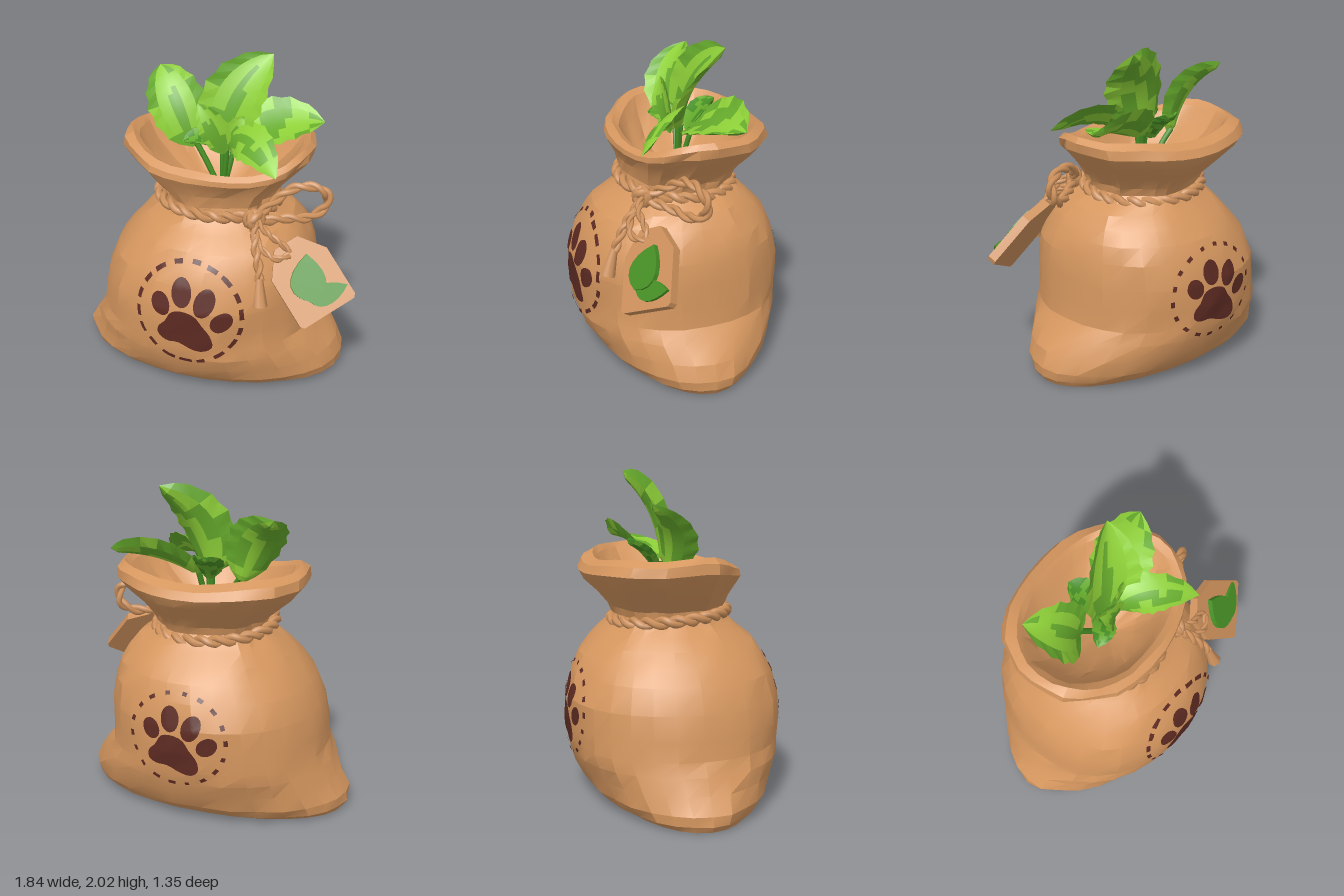
import * as THREE from 'three';
import { toCreasedNormals } from 'three/addons/utils/BufferGeometryUtils.js';

const V = (x, y, z) => new THREE.Vector3(x, y, z);
const mat = (name, color) => {
  const m = new THREE.MeshStandardMaterial({ color });
  m.name = name;
  return m;
};
// Repeatable pseudo-random value in 0..1
const hash = (a, b) => {
  const s = Math.sin(a * 127.1 + b * 311.7) * 43758.5453;
  return s - Math.floor(s);
};

// Surface through rows of points, two triangles per cell
function grid(rows, crease = 0.5) {
  const n = rows[0].length, index = [];
  for (let i = 0; i < rows.length - 1; i++) for (let j = 0; j < n - 1; j++) {
    const a = i * n + j, b = a + 1, d = a + n, c = d + 1;
    index.push(a, d, b, b, d, c);
  }
  const g = new THREE.BufferGeometry().setFromPoints(rows.flat());
  g.setIndex(index);
  return toCreasedNormals(g, crease);
}

export function createModel() {
  const root = new THREE.Group();
  const burlap = mat('burlap', 0xd6975f);
  const ropeMat = mat('rope', 0xce915c);
  const ink = mat('brown ink', 0x5c2a22);
  const light = mat('light leaf green', 0x8ed038);
  const mid = mat('mid leaf green', 0x66ab2c);
  const dark = mat('dark leaf green', 0x468f24);
  const add = (name, geo, material, parent = root) => {
    const m = new THREE.Mesh(geo, material);
    m.name = name;
    parent.add(m);
    return m;
  };
  const group = (name) => {
    const g = new THREE.Group();
    g.name = name;
    root.add(g);
    return g;
  };

  // Sack: sections as [y, xmin, xmax, zmin, zmax], up the outside, over the rim and down the inside
  const sections = [
    [0, -0.07, -0.07, 0, 0], [0, -0.9, 0.765, -0.42, 0.42], [0.04, -0.92, 0.785, -0.49, 0.49],
    [0.1, -0.92, 0.79, -0.55, 0.55], [0.2, -0.86, 0.75, -0.605, 0.605], [0.3, -0.81, 0.67, -0.64, 0.64],
    [0.38, -0.77, 0.61, -0.66, 0.655], [0.5, -0.76, 0.6, -0.667, 0.665], [0.65, -0.735, 0.6, -0.66, 0.66],
    [0.8, -0.675, 0.585, -0.62, 0.62], [0.9, -0.6, 0.55, -0.565, 0.57], [0.98, -0.53, 0.5, -0.5, 0.51],
    [1.05, -0.46, 0.44, -0.43, 0.42], [1.1, -0.4, 0.35, -0.375, 0.36], [1.14, -0.37, 0.31, -0.35, 0.33],
    [1.19, -0.38, 0.32, -0.37, 0.32], [1.27, -0.47, 0.38, -0.44, 0.34], [1.36, -0.58, 0.48, -0.53, 0.375],
    [1.42, -0.645, 0.535, -0.57, 0.4], [1.47, -0.64, 0.55, -0.54, 0.39], [1.5, -0.59, 0.52, -0.47, 0.35],
    [1.47, -0.55, 0.48, -0.44, 0.31], [1.38, -0.48, 0.4, -0.39, 0.28], [1.28, -0.36, 0.28, -0.3, 0.23],
    [1.19, -0.23, 0.17, -0.2, 0.14], [1.12, -0.08, 0.02, -0.08, 0.02], [1.12, -0.03, -0.03, -0.03, -0.03],
  ];
  const SEG = 30;
  const full = (c, p) => Math.sign(c) * Math.abs(c) ** p;
  const sackRows = sections.map(([y, x0, x1, z0, z1], i) => Array.from({ length: SEG + 1 }, (_, j) => {
    const k = j % SEG, t = (k / SEG) * Math.PI * 2;
    const fold = Math.max(0, 1 - Math.abs(y - 1.22) / 0.3) * 0.05;
    const f = 1 + fold * Math.sin(8 * t + 2 * Math.sin(2 * t)) + (y > 0 ? (hash(i, k) - 0.5) * 0.026 : 0);
    const wave = THREE.MathUtils.smoothstep(y, 1.3, 1.5);
    const dip = -0.07 * Math.max(0, Math.cos(t - 1.3)) ** 2 + 0.02 * Math.cos(2 * t) + 0.01 * Math.sin(5 * t);
    const p = y > 0.25 ? 0.92 : 1;
    return V((x0 + x1) / 2 + (x1 - x0) / 2 * f * full(Math.cos(t), p), y + wave * (dip + 0.018),
      (z0 + z1) / 2 + (z1 - z0) / 2 * f * full(Math.sin(t), p));
  }));
  const sack = add('sack', grid(sackRows, 0.32), burlap);
  sack.updateMatrixWorld();

  // Paw prints laid on the front and back of the sack
  const ray = new THREE.Raycaster();
  function pawPrint(name, side, cx, cy, sx, sy, dash) {
    const g = group(name);
    const lay = (u, v) => {
      const x = cx + side * u * sx, y = cy + v * sy;
      ray.set(V(x, y, side * 2), V(0, 0, -side));
      return V(x, y, ray.intersectObject(sack)[0].point.z + side * 0.009);
    };
    const disk = (part, u, v, outline) => add(part, grid([0.001, 0.2, 0.4, 0.6, 0.8, 1].map((r) =>
      outline.map(([a, b]) => lay(u + a * r, v + b * r)))), ink, g);
    // Toes: centre, half width, half height, tilt
    [[-0.17, 0.06, 0.06, 0.074, 0.35], [-0.04, 0.15, 0.063, 0.09, 0.05], [0.105, 0.105, 0.062, 0.092, -0.3],
      [0.21, -0.015, 0.058, 0.077, -0.75]].forEach(([u, v, a, b, tilt]) => {
      disk('toe', u, v, Array.from({ length: 21 }, (_, i) => {
        const t = (i / 20) * Math.PI * 2, p = a * Math.cos(t), q = b * Math.sin(t);
        return [p * Math.cos(tilt) - q * Math.sin(tilt), p * Math.sin(tilt) + q * Math.cos(tilt)];
      }));
    });
    const pad = [[-0.03, 0.13], [-0.09, 0.11], [-0.13, 0.04], [-0.175, -0.01], [-0.175, -0.07], [-0.12, -0.1],
      [-0.05, -0.1], [0.03, -0.135], [0.11, -0.15], [0.165, -0.11], [0.155, -0.03], [0.105, 0.04], [0.06, 0.11]];
    const curve = new THREE.CatmullRomCurve3(pad.map(([a, b]) => V(a, b, 0)), true);
    disk('palm pad', -0.01, -0.09, curve.getPoints(32).map((p) => [p.x, p.y]));
    // Dashed ring
    for (let i = 0; i < 18; i++) {
      const t0 = (i / 18) * Math.PI * 2, len = dash * (0.14 + 0.1 * hash(i, 3));
      add('ring dash', grid([0.313, 0.338].map((r) => [0, 1, 2, 3, 4].map((k) => {
        const t = t0 + len * k / 4;
        return lay(r * Math.cos(t), r * Math.sin(t));
      }))), ink, g);
    }
  }
  pawPrint('frontPawPrint', 1, -0.04, 0.62, 1, 1, 1.1);
  pawPrint('backPawPrint', -1, -0.04, 0.575, 0.95, 0.87, 0.65);

  // Rope: two strands twisted around a path
  function rope(name, points, closed, turns, r, steps) {
    const g = group(name);
    const path = new THREE.CatmullRomCurve3(points, closed);
    const fr = path.computeFrenetFrames(steps, closed);
    for (const phase of [0, Math.PI]) {
      const pts = [];
      for (let i = 0; i < steps + (closed ? 0 : 1); i++) {
        const t = phase + (i / steps) * turns * Math.PI * 2;
        pts.push(path.getPointAt(i / steps).addScaledVector(fr.normals[i], r * 0.8 * Math.cos(t))
          .addScaledVector(fr.binormals[i], r * 0.8 * Math.sin(t)));
      }
      add('strand', new THREE.TubeGeometry(new THREE.CatmullRomCurve3(pts, closed), steps * 2, r, 6, closed), ropeMat, g);
    }
  }
  rope('neckRope', Array.from({ length: 16 }, (_, i) => {
    const t = (i / 16) * Math.PI * 2;
    return V(-0.04 + 0.37 * Math.cos(t), 1.13 - 0.015 * Math.cos(t) + 0.025 * Math.sin(t), -0.01 + 0.355 * Math.sin(t));
  }), true, 12, 0.023, 112);
  rope('bowLoop', [V(0.27, 1.15, 0.29), V(0.36, 1.22, 0.18), V(0.46, 1.29, 0.11), V(0.57, 1.3, 0.07), V(0.655, 1.25, 0.04),
    V(0.65, 1.16, 0.03), V(0.57, 1.1, 0.08), V(0.42, 1.11, 0.17), V(0.28, 1.13, 0.29)], false, 5, 0.019, 56);
  rope('ropeTail', [V(0.28, 1.13, 0.3), V(0.31, 1.03, 0.4), V(0.35, 0.93, 0.47), V(0.365, 0.86, 0.505)], false, 2, 0.017, 24);
  rope('tagString', [V(0.28, 1.16, 0.3), V(0.37, 1.1, 0.35), V(0.46, 1.03, 0.34), V(0.51, 0.99, 0.34)], false, 2, 0.013, 20);
  rope('tagString', [V(0.27, 1.1, 0.32), V(0.35, 1.02, 0.4), V(0.44, 0.97, 0.41), V(0.51, 0.98, 0.36)], false, 2, 0.013, 20);

  // Knot wraps and frayed end
  const knot = group('knot');
  [[0, 0.3, 0.5], [1.1, 0.8, 0.2], [-0.8, 1.3, 0]].forEach(([a, b, c]) => {
    const wrap = add('knot wrap', new THREE.TorusGeometry(0.045, 0.028, 6, 12), ropeMat, knot);
    wrap.position.set(0.27, 1.145, 0.29);
    wrap.rotation.set(a, b, c);
  });
  const fray = add('frayed end', new THREE.CylinderGeometry(0.022, 0.045, 0.17, 7), ropeMat);
  fray.position.set(0.375, 0.795, 0.53);
  fray.rotation.set(-0.3, 0, 0.12);

  // Tag with a two-leaf emblem
  const tag = group('tag');
  const u = V(0.73, 0.43, -0.54).normalize(), n = V(0.27, 0.54, 0.8);
  n.addScaledVector(u, -n.dot(u)).normalize();
  tag.quaternion.setFromRotationMatrix(new THREE.Matrix4().makeBasis(u, n.clone().cross(u), n));
  tag.position.set(0.645, 0.835, 0.39);
  const plate = new THREE.Shape([[-0.17, -0.22], [0.175, -0.22], [0.195, -0.2], [0.195, 0.12], [0.08, 0.27], [-0.08, 0.27],
    [-0.19, 0.12], [-0.19, -0.2]].map(([x, y]) => new THREE.Vector2(x, y)));
  add('tag plate', new THREE.ExtrudeGeometry(plate, { depth: 0.055, bevelEnabled: false }), ropeMat, tag).position.z = -0.055;
  // Emblem leaf: direction, length, half-width control, lift
  [[1.08, 0.285, 0.15, 0.012], [-0.12, 0.25, 0.09, 0]].forEach(([angle, len, w, lift]) => {
    const s = new THREE.Shape();
    s.moveTo(0, 0);
    s.bezierCurveTo(len * 0.15, w, len * 0.6, w * 0.9, len, 0);
    s.bezierCurveTo(len * 0.6, -w * 0.9, len * 0.15, -w, 0, 0);
    const leaf = add('tag leaf', new THREE.ExtrudeGeometry(s, { depth: 0.02 + lift, bevelEnabled: false, curveSegments: 7 }), dark, tag);
    leaf.position.set(-0.065, -0.1, 0);
    leaf.rotation.z = angle;
  });

  // Leaves: a cupped blade along a bent midrib, toothed edge, patchy faces
  const sprig = group('leaves');
  function leaf(name, p0, p1, p2, up, width, seed, cup = 0.25, faces = [light, mid], back = [mid, light]) {
    const rib = new THREE.QuadraticBezierCurve3(p0, p1, p2), T = 12;
    const blade = (thick) => Array.from({ length: T + 1 }, (_, i) => {
      const t = i / T, c = rib.getPoint(t), tan = rib.getTangent(t);
      const nn = up.clone().addScaledVector(tan, -up.dot(tan)).normalize();
      const side = nn.clone().cross(tan);
      const w = width * Math.max(0, Math.sin(Math.PI * t ** 0.9)) ** 0.7 + 0.008 * (1 - t);
      return [-1, -0.6, -0.2, 0, 0.2, 0.6, 1].map((s) => {
        const tooth = Math.abs(s) === 1 && i % 2 ? 0.9 : 1;
        return c.clone().addScaledVector(side, s * w * tooth)
          .addScaledVector(nn, cup * w * s * s - thick * (1 - s * s) * Math.min(1, w / 0.05));
      });
    });
    const paint = (geo, offset) => {
      for (let i = 0; i < T; i++) for (let j = 0; j < 6; j++) {
        const vein = (j === 2 || j === 3) && i > 1 && i < 7;
        const patch = hash(Math.floor(i / 2) + seed + offset, j) < 0.27 || i < 2;
        geo.addGroup((i * 6 + j) * 6, 6, vein || patch ? 1 : 0);
      }
      return geo;
    };
    add(name, paint(grid(blade(0), 0.3), 0), faces, sprig);
    add(name + ' underside', paint(grid(blade(0.03).map((r) => r.reverse()), 0.3), 50), back, sprig);
  }
  leaf('tallLeaf', V(-0.03, 1.42, -0.03), V(0.01, 1.8, -0.03), V(0.24, 2, -0.23), V(-0.15, 0.4, 1), 0.205, 1, 0.35);
  leaf('leftLeaf', V(-0.22, 1.4, -0.06), V(-0.33, 1.74, -0.03), V(-0.49, 1.85, -0.24), V(0.25, 0.75, 0.9), 0.18, 7, 0.3);
  leaf('frontRightLeaf', V(0, 1.48, 0), V(0.17, 1.7, 0.12), V(0.41, 1.46, 0.34), V(-0.2, 0.8, 0.8), 0.13, 13, -0.2);
  leaf('backRightLeaf', V(0.03, 1.45, -0.08), V(0.28, 1.62, -0.16), V(0.57, 1.59, -0.24), V(-0.15, 1, 0.55), 0.195, 19, 0.25);
  leaf('smallLeaf', V(0, 1.42, 0.03), V(-0.03, 1.62, 0.08), V(-0.16, 1.74, 0.04), V(0.2, 0.3, 1), 0.09, 23);
  leaf('smallRightLeaf', V(0, 1.45, 0), V(0.08, 1.62, 0.03), V(0.14, 1.66, -0.02), V(0, 0.3, 1), 0.06, 29);
  leaf('lowLeaf', V(-0.05, 1.47, 0), V(-0.13, 1.56, 0.05), V(-0.24, 1.5, 0.09), V(0, 1, 0.4), 0.075, 31, 0.2, [mid, dark], [dark, mid]);
  leaf('lowBackLeaf', V(-0.03, 1.42, -0.08), V(-0.05, 1.58, -0.18), V(-0.06, 1.6, -0.28), V(0, 1, 0.3), 0.1, 37, 0.2, [dark, mid], [dark, mid]);
  // Stems down into the sack
  [V(-0.03, 1.46, -0.05), V(-0.22, 1.44, -0.08), V(0.01, 1.5, -0.02), V(0.04, 1.46, -0.1)].forEach((p) => {
    const c = new THREE.QuadraticBezierCurve3(V(-0.03, 1.1, -0.04), V(p.x * 0.5, 1.3, p.z * 0.5), p);
    add('stem', new THREE.TubeGeometry(c, 6, 0.018, 6), dark, sprig);
  });
  return root;
}
